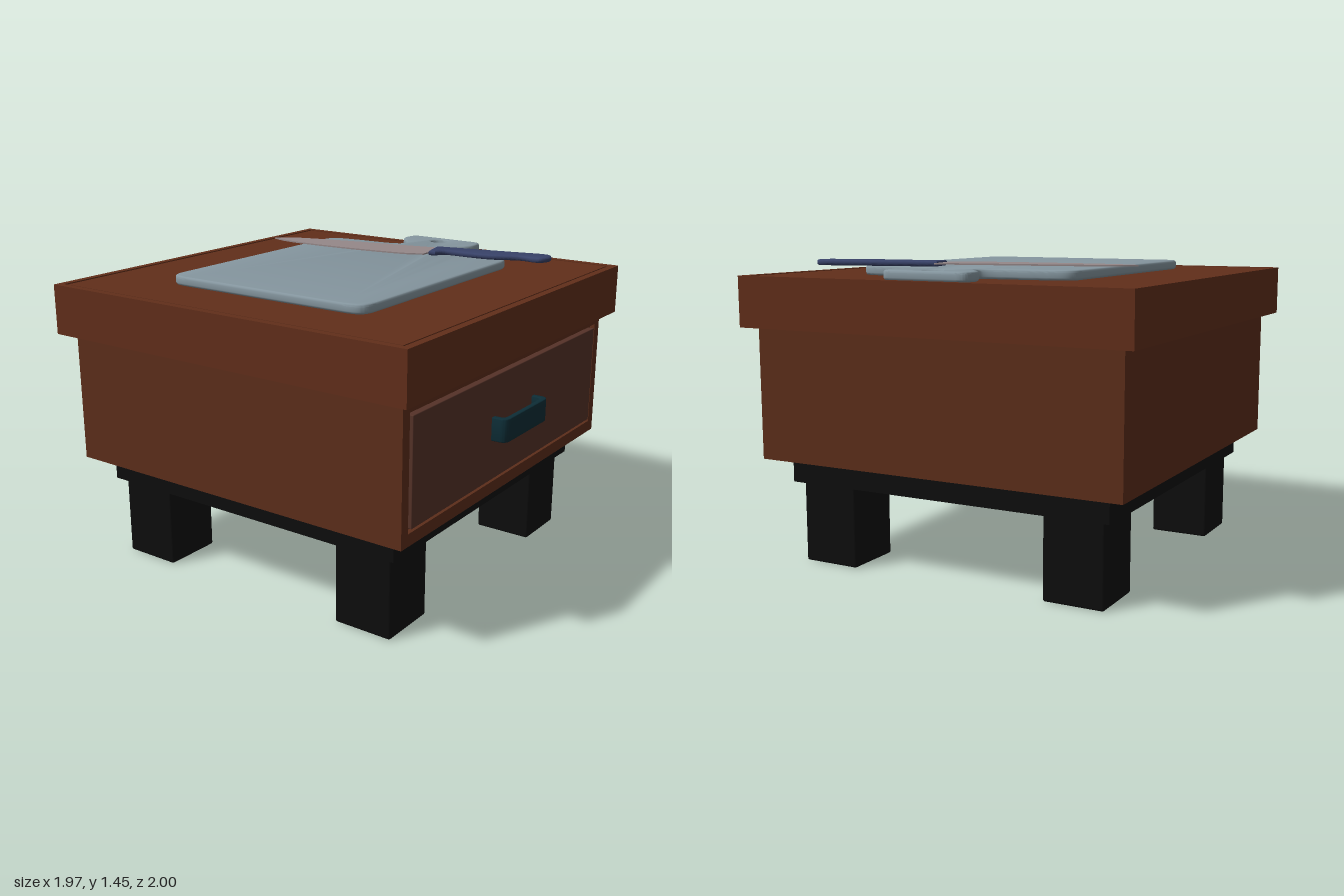
import * as THREE from 'three';
import { toCreasedNormals } from 'three/addons/utils/BufferGeometryUtils.js';
import { RoundedBoxGeometry } from 'three/addons/geometries/RoundedBoxGeometry.js';

const mat = (color) => new THREE.MeshStandardMaterial({ color });

export function createModel() {
  const model = new THREE.Group();
  const wood = mat(0x612e1a), bodyWood = mat(0x5c2d1a), drawerWood = mat(0x553228), black = mat(0x0d0d0d);
  const teal = mat(0x0d2d36), boardGrey = mat(0x85969f), steel = mat(0x958889), navy = mat(0x384268);

  const add = (name, geometry, material) => {
    const mesh = new THREE.Mesh(geometry, material);
    mesh.name = name;
    model.add(mesh);
    return mesh;
  };

  // Box given by its limits on each axis, optionally with rounded edges
  const box = (name, material, [x0, x1], [y0, y1], [z0, z1], radius = 0) => {
    const size = [x1 - x0, y1 - y0, z1 - z0];
    const geometry = radius ? new RoundedBoxGeometry(...size, 2, radius) : new THREE.BoxGeometry(...size);
    geometry.translate((x0 + x1) / 2, (y0 + y1) / 2, (z0 + z1) / 2);
    return add(name, geometry, material);
  };

  const rect = ([x0, x1], [y0, y1], Type = THREE.Shape) => new Type([
    new THREE.Vector2(x0, y0), new THREE.Vector2(x1, y0),
    new THREE.Vector2(x1, y1), new THREE.Vector2(x0, y1),
  ]);

  // Extrusion with a small edge rounding that stays inside the outline
  const extrude = (shape, depth, bevel = 0) => toCreasedNormals(new THREE.ExtrudeGeometry(shape, {
    depth: depth - 2 * bevel, bevelEnabled: bevel > 0, bevelThickness: bevel,
    bevelSize: bevel, bevelOffset: -bevel, bevelSegments: 3, curveSegments: 16,
  }).translate(0, 0, bevel), 0.6);

  // Plan outline (x, -z) extruded upwards from height y
  const slab = (shape, y, height, bevel) => extrude(shape, height, bevel).rotateX(-Math.PI / 2).translate(0, y, 0);

  // Table top: outer rim, sunken groove, raised panel
  const rim = rect([-0.988, 0.986], [-0.976, 1]);
  rim.holes.push(rect([-0.954, 0.952], [-0.94, 0.966], THREE.Path));
  add('tableTopRim', slab(rim, 1.145, 0.24), wood);
  box('tableTopCore', wood, [-0.954, 0.952], [1.145, 1.37], [-0.966, 0.94]);
  box('tableTopPanel', wood, [-0.942, 0.94], [1.365, 1.383], [-0.954, 0.928]);

  // Cabinet with a framed drawer front
  box('cabinet', bodyWood, [-0.925, 0.92], [0.515, 1.145], [-0.935, 0.895]);
  const frame = rect([-0.925, 0.92], [0.515, 1.145]);
  frame.holes.push(rect([-0.875, 0.87], [0.572, 1.095], THREE.Path));
  add('drawerFrame', extrude(frame, 0.025).translate(0, 0, 0.895), bodyWood);
  box('drawerFront', drawerWood, [-0.858, 0.853], [0.588, 1.078], [0.88, 0.926], 0.004);

  // Drawer pull: a strap bent into a U
  const pull = new THREE.Shape();
  pull.moveTo(-0.207, -0.915);
  pull.lineTo(-0.207, -0.965);
  pull.quadraticCurveTo(-0.205, -1, -0.165, -1);
  pull.lineTo(0.165, -1);
  pull.quadraticCurveTo(0.205, -1, 0.207, -0.965);
  pull.lineTo(0.207, -0.915);
  pull.lineTo(0.178, -0.915);
  pull.lineTo(0.178, -0.955);
  pull.quadraticCurveTo(0.176, -0.974, 0.155, -0.975);
  pull.lineTo(-0.155, -0.975);
  pull.quadraticCurveTo(-0.176, -0.974, -0.178, -0.955);
  pull.lineTo(-0.178, -0.915);
  add('drawerPull', slab(pull, 0.78, 0.11, 0.004), teal);

  // Plinth and four legs
  box('plinth', black, [-0.826, 0.824], [0.395, 0.515], [-0.835, 0.82]);
  for (const x of [-0.647, 0.644])
    for (const z of [-0.652, 0.637])
      box('leg', black, [x - 0.146, x + 0.146], [0, 0.41], [z - 0.146, z + 0.146], 0.01);

  // Cutting board with necked grip and hanging hole
  const board = new THREE.Shape();
  board.moveTo(-0.56, -0.545);
  board.lineTo(0.54, -0.545);
  board.bezierCurveTo(0.62, -0.545, 0.64, -0.5, 0.645, -0.4);
  board.bezierCurveTo(0.655, -0.27, 0.65, -0.11, 0.71, -0.11);
  board.bezierCurveTo(0.78, -0.12, 0.78, -0.21, 0.88, -0.208);
  board.bezierCurveTo(0.935, -0.205, 0.952, -0.195, 0.952, -0.15);
  board.lineTo(0.952, 0.17);
  board.bezierCurveTo(0.952, 0.22, 0.935, 0.233, 0.88, 0.235);
  board.bezierCurveTo(0.8, 0.235, 0.78, 0.145, 0.71, 0.14);
  board.bezierCurveTo(0.65, 0.14, 0.665, 0.3, 0.645, 0.43);
  board.bezierCurveTo(0.635, 0.53, 0.62, 0.57, 0.54, 0.57);
  board.lineTo(-0.56, 0.57);
  board.bezierCurveTo(-0.64, 0.57, -0.66, 0.54, -0.66, 0.46);
  board.lineTo(-0.66, -0.435);
  board.bezierCurveTo(-0.66, -0.52, -0.64, -0.545, -0.56, -0.545);
  board.holes.push(new THREE.Path().absarc(0.865, 0.013, 0.044, 0, Math.PI * 2, true));
  add('cuttingBoard', slab(board, 1.383, 0.045, 0.012), boardGrey);

  // Knife lying across the board
  const pts = (list) => list.map(([x, y]) => new THREE.Vector2(x, y));
  const blade = new THREE.Shape();
  blade.moveTo(0.352, 0.75);
  blade.splineThru(pts([[0.42, 0.64], [0.495, 0.37], [0.56, 0.06], [0.605, -0.14]]));
  blade.lineTo(0.6, -0.16);
  blade.lineTo(0.47, -0.165);
  blade.lineTo(0.42, -0.165);
  blade.splineThru(pts([[0.375, -0.06], [0.335, 0.2], [0.315, 0.48], [0.325, 0.66], [0.352, 0.75]]));
  add('knifeBlade', slab(blade, 1.438, 0.007), steel);

  const grip = new THREE.Shape();
  grip.moveTo(0.465, -0.165);
  grip.lineTo(0.6, -0.135);
  grip.splineThru(pts([[0.64, -0.32], [0.685, -0.52], [0.722, -0.68], [0.71, -0.73], [0.665, -0.75],
    [0.61, -0.73], [0.597, -0.69], [0.6, -0.61], [0.545, -0.49], [0.527, -0.37], [0.522, -0.24], [0.47, -0.2]]));
  add('knifeHandle', slab(grip, 1.428, 0.026, 0.01), navy);

  return model;
}
